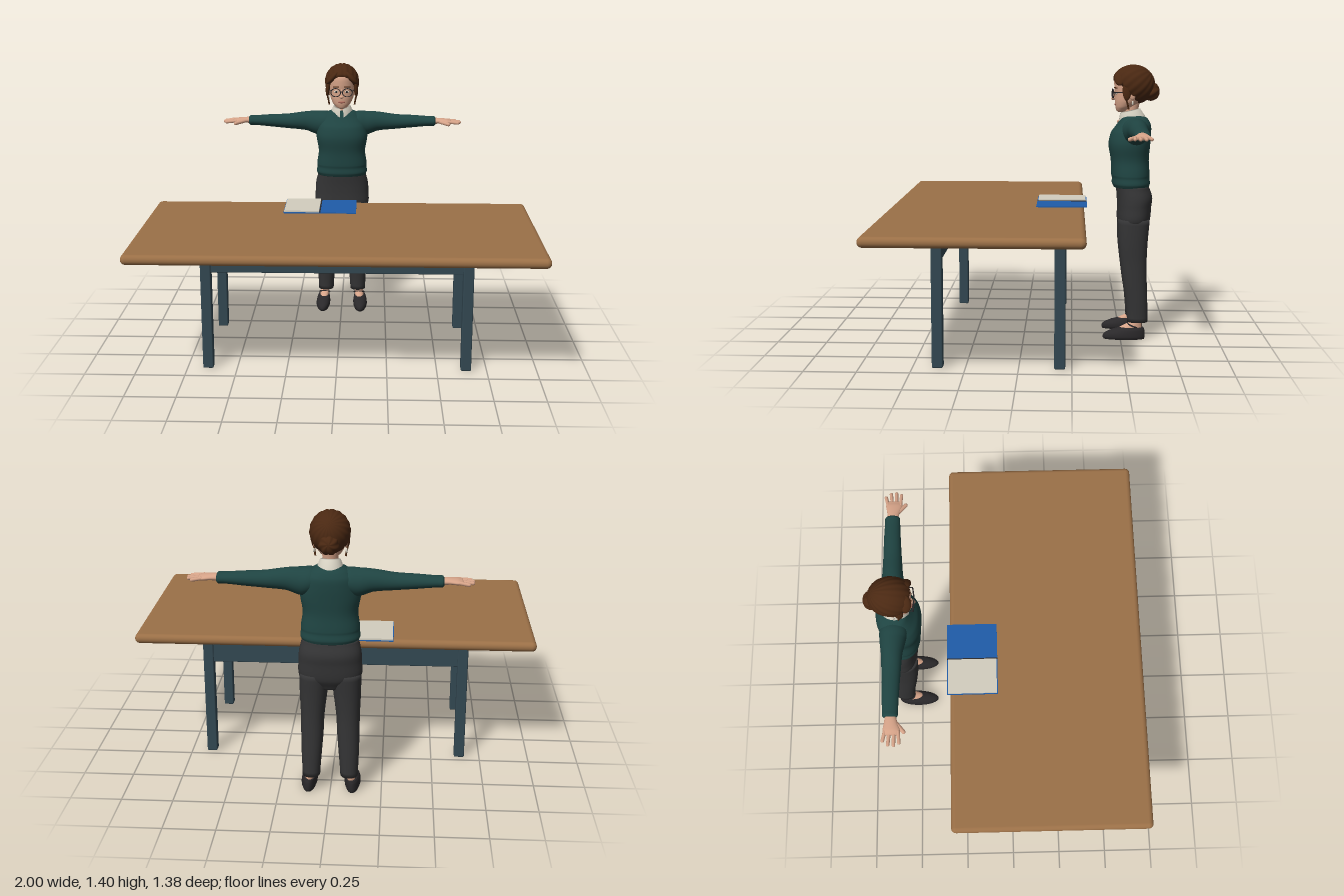
import * as THREE from 'three';
import { RoundedBoxGeometry } from 'three/addons/geometries/RoundedBoxGeometry.js';

const material = (name, color, side = THREE.FrontSide) =>
  Object.assign(new THREE.MeshStandardMaterial({ color, side }), { name });

// Smooth loft through rows [t, a, b, ra, rb]: t runs along the axis, (a, b) is the
// centre and (ra, rb) the radii of each oval. Axis 'y' uses (x, z), axis 'x' uses (y, z).
function loft(rows, axis = 'y', power = 1, n = 32, steps = 5) {
  const rings = [];
  const at = (i) => rows[Math.min(Math.max(i, 0), rows.length - 1)];
  for (let i = 0; i < rows.length - 1; i++) {
    for (let s = 0; s < steps; s++) {
      const u = s / steps;
      rings.push(rows[i].map((p1, k) => {
        const p0 = at(i - 1)[k], p2 = at(i + 1)[k], p3 = at(i + 2)[k];
        if (k === 0) return p1 + (p2 - p1) * u;
        return 0.5 * (2 * p1 + (p2 - p0) * u + (2 * p0 - 5 * p1 + 4 * p2 - p3) * u * u
          + (3 * p1 - p0 - 3 * p2 + p3) * u * u * u);
      }));
    }
  }
  rings.push(at(rows.length));
  const pos = [], index = [];
  const bow = (v) => Math.sign(v) * Math.abs(v) ** power;
  const put = (t, p, q) => (axis === 'y' ? pos.push(p, t, q) : pos.push(t, p, q));
  for (const [t, a, b, ra, rb] of rings) {
    for (let j = 0; j < n; j++) {
      const w = (j / n) * Math.PI * 2 * (axis === 'y' ? 1 : -1);
      put(t, a + ra * bow(Math.cos(w)), b + rb * bow(Math.sin(w)));
    }
  }
  const first = rings.length * n, last = rings.length - 1;
  for (const r of [rings[0], rings[last]]) put(r[0], r[1], r[2]);
  for (let j = 0; j < n; j++) {
    const k = (j + 1) % n;
    for (let i = 0; i < last; i++) {
      const a = i * n + j, b = i * n + k;
      index.push(a, a + n, b, b, a + n, b + n);
    }
    index.push(first, j, k, first + 1, last * n + k, last * n + j);
  }
  const geo = new THREE.BufferGeometry();
  geo.setAttribute('position', new THREE.Float32BufferAttribute(pos, 3));
  geo.setIndex(index);
  geo.computeVertexNormals();
  return geo;
}

// Row given by its front and back z instead of centre and radius
const row = (y, x, rx, front, back) => [y, x, (front + back) / 2, rx, (front - back) / 2];

const ball = (x, y, z, rx, ry = rx, rz = rx, tilt = 0) =>
  new THREE.SphereGeometry(1, 20, 14).scale(rx, ry, rz).rotateZ(tilt).translate(x, y, z);

// Rounded rod between two points
function rod(a, b, r) {
  const p = new THREE.Vector3(...a), d = new THREE.Vector3(...b).sub(p);
  const turn = new THREE.Quaternion().setFromUnitVectors(new THREE.Vector3(0, 1, 0), d.clone().normalize());
  const mid = p.addScaledVector(d, 0.5);
  return new THREE.CapsuleGeometry(r, d.length(), 4, 10).applyQuaternion(turn).translate(mid.x, mid.y, mid.z);
}

// Mirror image across x = 0 with the winding put right
function mirrored(source) {
  const geo = source.clone().scale(-1, 1, 1);
  const n = geo.attributes.position.count;
  const ids = geo.index ? Array.from(geo.index.array) : Array.from({ length: n }, (_, i) => i);
  for (let i = 0; i < ids.length; i += 3) [ids[i], ids[i + 1]] = [ids[i + 1], ids[i]];
  geo.setIndex(ids);
  return geo;
}

// Hair mass with strands gathered towards its pole, rim curled inwards
function strands(cut, ridges, depth) {
  const geo = new THREE.SphereGeometry(1, 96, 32, 0, Math.PI * 2, 0, cut);
  const p = geo.attributes.position;
  const v = new THREE.Vector3();
  for (let i = 0; i < p.count; i++) {
    v.fromBufferAttribute(p, i);
    const th = Math.acos(THREE.MathUtils.clamp(v.y, -1, 1));
    const rim = cut < 3 ? THREE.MathUtils.smoothstep(th, cut - 0.2, cut) : 0;
    const wave = Math.sin(Math.atan2(v.z, v.x) * ridges + th * 2) * Math.sin(th);
    v.multiplyScalar(1 + depth * wave - 0.14 * rim);
    p.setXYZ(i, v.x, v.y, v.z);
  }
  geo.computeVertexNormals();
  return geo;
}

export function createModel() {
  const wood = material('wood', 0x9b7047), steel = material('slate metal', 0x334852);
  const knit = material('green knit', 0x1f4442), cloth = material('charcoal cloth', 0x343435);
  const dark = material('dark leather', 0x2a282a), skin = material('skin', 0xd6a388);
  const hair = material('brown hair', 0x4a2812, THREE.DoubleSide);
  const blue = material('blue cover', 0x1f5ca9), cream = material('cream', 0xd3cebf, THREE.DoubleSide);
  const lip = material('lip', 0xb06a5c);

  const model = new THREE.Group();
  const group = (name) => {
    const g = new THREE.Group();
    g.name = name;
    model.add(g);
    return g;
  };
  const add = (parent, name, geo, mat) => {
    const mesh = new THREE.Mesh(geo, mat);
    mesh.name = name;
    parent.add(mesh);
  };
  const pair = (parent, name, geo, mat) => {
    add(parent, name + 'Left', geo, mat);
    add(parent, name + 'Right', mirrored(geo), mat);
  };

  // Table
  const table = group('table');
  add(table, 'tableTop', new RoundedBoxGeometry(2, 0.05, 1, 3, 0.0245).translate(0, 0.655, 0.19), wood);
  for (const [end, z] of [['front', 0.382], ['back', -0.193]]) {
    pair(table, end + 'Leg', new RoundedBoxGeometry(0.052, 0.633, 0.052, 2, 0.006).translate(0.646, 0.3165, z), steel);
    add(table, end + 'Rail', new RoundedBoxGeometry(1.26, 0.1, 0.036, 2, 0.004).translate(0, 0.555, z), steel);
  }

  // Open folder with a pad of paper
  const folder = group('folder');
  const slab = (x0, x1, y0, y1, z0, z1) =>
    new THREE.BoxGeometry(x1 - x0, y1 - y0, z1 - z0).translate((x0 + x1) / 2, (y0 + y1) / 2, (z0 + z1) / 2);
  add(folder, 'cover', slab(-0.296, 0.087, 0.68, 0.685, -0.325, -0.064), blue);
  add(folder, 'paper', slab(-0.292, -0.108, 0.685, 0.693, -0.32, -0.069), cream);
  add(folder, 'spine', slab(-0.107, -0.101, 0.685, 0.688, -0.325, -0.064), dark);

  // Sweater
  const body = group('body');
  add(body, 'sweater', loft([
    row(0.782, 0, 0.134, -0.46, -0.642), row(0.80, 0, 0.142, -0.452, -0.648), row(0.828, 0, 0.138, -0.452, -0.644),
    row(0.845, 0, 0.139, -0.448, -0.645), row(0.92, 0, 0.13, -0.445, -0.64), row(1.0, 0, 0.142, -0.433, -0.646),
    row(1.06, 0, 0.134, -0.445, -0.65), row(1.1, 0, 0.118, -0.474, -0.648), row(1.13, 0, 0.088, -0.492, -0.632),
    row(1.15, 0, 0.05, -0.505, -0.605)], 'y', 0.88), knit);
  pair(body, 'sleeve', loft([
    [0.05, 1.08, -0.56, 0.05, 0.06], [0.09, 1.075, -0.563, 0.063, 0.068], [0.13, 1.07, -0.567, 0.067, 0.064],
    [0.2, 1.08, -0.57, 0.053, 0.052], [0.3, 1.078, -0.572, 0.041, 0.046], [0.4, 1.08, -0.574, 0.034, 0.042],
    [0.49, 1.081, -0.574, 0.027, 0.038], [0.515, 1.081, -0.574, 0.027, 0.037], [0.522, 1.081, -0.574, 0.02, 0.03]], 'x'), knit);

  // Shirt collar, open at the front
  const collar = new THREE.LatheGeometry(
    [[0.072, -0.038], [0.068, -0.018], [0.052, 0.02], [0.042, 0.024], [0.04, 0]].map((p) => new THREE.Vector2(...p)),
    32, 0.16, Math.PI * 2 - 0.32);
  add(body, 'collar', collar.scale(0.92, 1, 1).rotateX(0.22).translate(0, 1.15, -0.546), cream);

  // Hands
  pair(body, 'palm', loft([[0.505, 1.082, -0.572, 0.018, 0.025], [0.55, 1.083, -0.57, 0.015, 0.032],
    [0.585, 1.081, -0.567, 0.014, 0.041], [0.608, 1.08, -0.566, 0.009, 0.037]], 'x'), skin);
  [[-0.598, -0.608, 0.634], [-0.576, -0.583, 0.653], [-0.555, -0.556, 0.656], [-0.535, -0.531, 0.645]].forEach(
    ([z0, z1, x], i) => pair(body, 'finger' + (i + 1), rod([0.59, 1.082, z0], [x, 1.077, z1], 0.0085), skin));
  pair(body, 'thumb', rod([0.545, 1.08, -0.55], [0.592, 1.073, -0.51], 0.01), skin);

  // Trousers
  add(body, 'trouserSeat', loft([row(0.545, 0, 0.07, -0.51, -0.62), row(0.6, 0, 0.146, -0.482, -0.648),
    row(0.68, 0, 0.15, -0.48, -0.656), row(0.73, 0, 0.147, -0.478, -0.66), row(0.79, 0, 0.134, -0.473, -0.64)], 'y', 0.88), cloth);
  pair(body, 'trouserLeg', loft([row(0.088, 0.092, 0.043, -0.535, -0.64), row(0.2, 0.09, 0.049, -0.526, -0.638),
    row(0.3, 0.087, 0.054, -0.511, -0.634), row(0.4, 0.085, 0.057, -0.498, -0.632), row(0.5, 0.081, 0.065, -0.487, -0.636),
    row(0.62, 0.076, 0.072, -0.484, -0.645)], 'y', 0.9), cloth);

  // Feet and slip-on shoes
  pair(body, 'foot', loft([row(0.03, 0.103, 0.028, -0.46, -0.61), row(0.062, 0.101, 0.025, -0.5, -0.61),
    row(0.085, 0.098, 0.024, -0.545, -0.61), row(0.12, 0.095, 0.024, -0.56, -0.61)]), skin);
  pair(body, 'shoe', loft([row(0, 0.107, 0.034, -0.414, -0.624), row(0.012, 0.107, 0.039, -0.409, -0.626),
    row(0.03, 0.106, 0.039, -0.418, -0.626), row(0.048, 0.105, 0.035, -0.455, -0.624), row(0.06, 0.103, 0.029, -0.495, -0.62)]), dark);
  pair(body, 'shoeStrap', new THREE.TorusGeometry(0.028, 0.004, 8, 24).rotateX(1.2).translate(0.1, 0.068, -0.565), dark);

  // Head
  const head = group('head');
  add(head, 'neck', loft([row(1.1, 0, 0.042, -0.5, -0.592), row(1.16, 0, 0.037, -0.507, -0.582), row(1.22, 0, 0.038, -0.51, -0.59)]), skin);
  add(head, 'face', loft([row(1.163, 0, 0.012, -0.482, -0.506), row(1.17, 0, 0.028, -0.472, -0.525), row(1.19, 0, 0.048, -0.466, -0.56),
    row(1.22, 0, 0.063, -0.463, -0.6), row(1.26, 0, 0.071, -0.463, -0.63), row(1.3, 0, 0.073, -0.459, -0.64),
    row(1.34, 0, 0.07, -0.462, -0.635), row(1.375, 0, 0.05, -0.49, -0.61), row(1.385, 0, 0.02, -0.53, -0.57)]), skin);
  add(head, 'noseTip', ball(0, 1.233, -0.455, 0.011, 0.009, 0.011), skin);
  add(head, 'noseBridge', rod([0, 1.234, -0.455], [0, 1.268, -0.463], 0.006), skin);
  add(head, 'lips', ball(0, 1.203, -0.466, 0.02, 0.006, 0.005), lip);
  pair(head, 'ear', ball(0.072, 1.25, -0.55, 0.008, 0.023, 0.014), skin);
  pair(head, 'earring', ball(0.075, 1.213, -0.55, 0.005, 0.011, 0.005), cream);
  pair(head, 'eyeWhite', ball(0.029, 1.26, -0.469, 0.013, 0.007, 0.005), cream);
  pair(head, 'iris', ball(0.029, 1.26, -0.4655, 0.0055, 0.006, 0.0035), dark);
  pair(head, 'eyebrow', rod([0.016, 1.288, -0.461], [0.045, 1.287, -0.471], 0.003), hair);

  // Glasses
  pair(head, 'glassesRim', new THREE.TorusGeometry(0.025, 0.0024, 8, 32).scale(1.08, 0.9, 1).rotateY(0.12).translate(0.032, 1.258, -0.452), dark);
  pair(head, 'glassesArm', rod([0.059, 1.266, -0.456], [0.076, 1.264, -0.55], 0.0024), dark);
  add(head, 'glassesBridge', rod([-0.006, 1.263, -0.449], [0.006, 1.263, -0.449], 0.0024), dark);

  // Hair swept back into a bun, with loose strands by the face
  add(head, 'hairCap', strands(2.16, 18, 0.014).rotateX(-0.93).scale(0.094, 0.1, 0.11).translate(0, 1.304, -0.556), hair);
  add(head, 'bun', strands(Math.PI, 7, 0.05).rotateX(-1.4).scale(0.046, 0.047, 0.042).translate(0, 1.268, -0.648), hair);
  pair(head, 'fringe', ball(0.052, 1.335, -0.484, 0.016, 0.045, 0.028, 0.75), hair);
  pair(head, 'sideHair', ball(0.077, 1.275, -0.52, 0.012, 0.05, 0.022, 0.08), hair);
  pair(head, 'looseStrand', new THREE.TubeGeometry(new THREE.CatmullRomCurve3([[0.078, 1.29, -0.508], [0.081, 1.24, -0.515],
    [0.074, 1.205, -0.525], [0.07, 1.18, -0.53]].map((p) => new THREE.Vector3(...p))), 16, 0.0045, 8), hair);

  return model;
}
